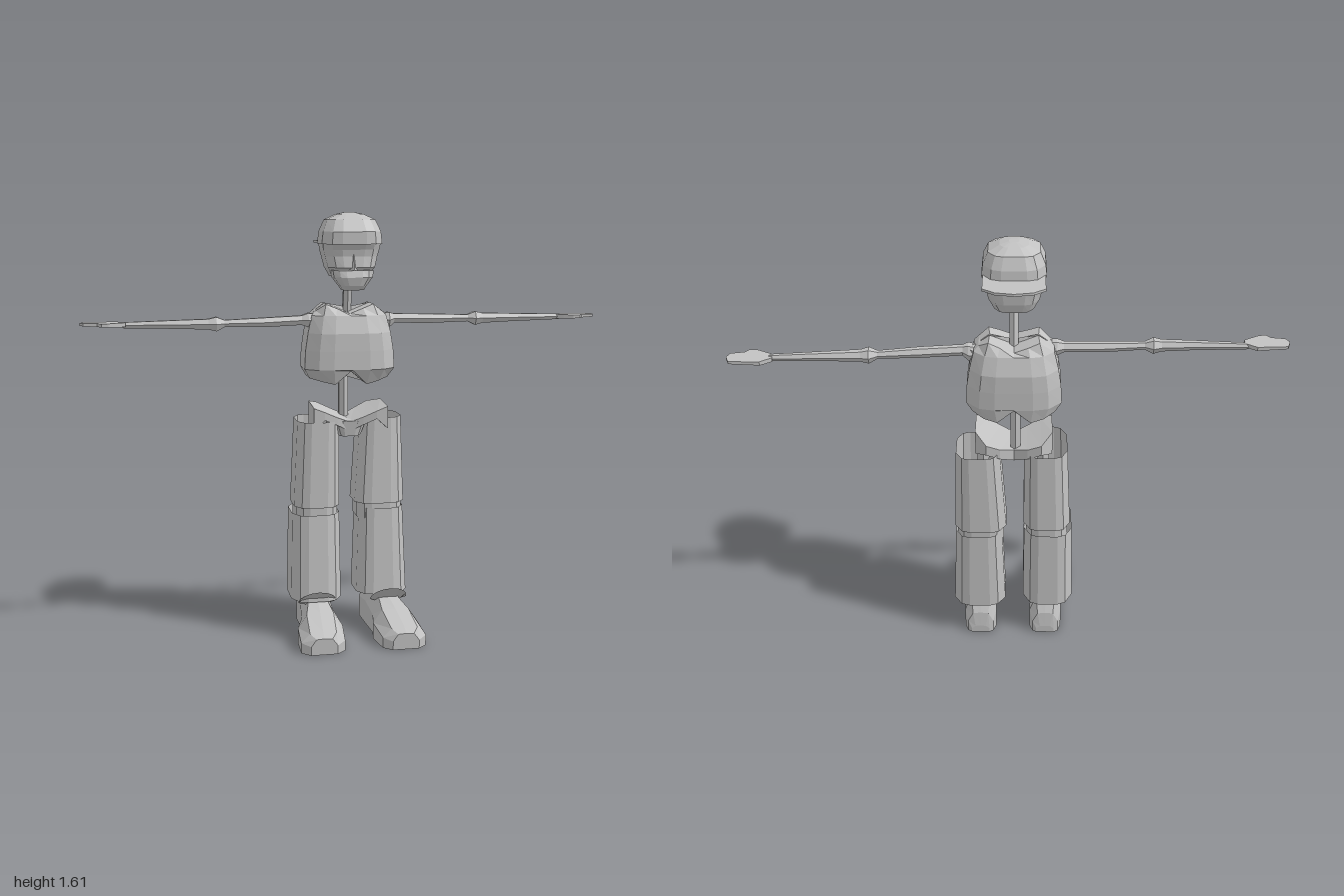
import * as THREE from 'three';

const gray = new THREE.MeshStandardMaterial({ color: 0xc2c2c2, side: THREE.DoubleSide, flatShading: true });
gray.name = 'pale gray';
const CX = -0.012; // the torso and head sit slightly off centre

// Skin a list of cross-sections, each a list of [x, y, z]
function loft(rings, { closed = true, caps = true } = {}) {
  const out = [], n = rings[0].length;
  const tri = (a, b, c) => out.push(...a, ...b, ...c);
  for (let i = 0; i < rings.length - 1; i++) {
    for (let j = 0; j < (closed ? n : n - 1); j++) {
      const k = (j + 1) % n, p = rings[i], q = rings[i + 1];
      tri(p[j], p[k], q[j]);
      tri(p[k], q[k], q[j]);
    }
  }
  if (caps) {
    [rings[0], rings[rings.length - 1]].forEach((r, end) => {
      const mid = [0, 1, 2].map(a => r.reduce((s, p) => s + p[a], 0) / n);
      r.forEach((p, j) => end ? tri(mid, p, r[(j + 1) % n]) : tri(mid, r[(j + 1) % n], p));
    });
  }
  const g = new THREE.BufferGeometry();
  g.setAttribute('position', new THREE.Float32BufferAttribute(out, 3));
  g.computeVertexNormals();
  return g;
}

// Horizontal ring of a chamfered box; lift(u) raises points by their side position
const OUTLINE = [[-1, -0.5], [-1, 0.5], [-0.72, 0.9], [-0.4, 1], [0, 1], [0.4, 1], [0.72, 0.9],
  [1, 0.5], [1, -0.5], [0.72, -0.9], [0.4, -1], [0, -1], [-0.4, -1], [-0.72, -0.9]];
function ring(cx, y, hw, zb, zf, lift = () => 0) {
  return OUTLINE.map(([u, v]) => [cx + u * hw, y + lift(Math.abs(u)), (zf + zb) / 2 + v * (zf - zb) / 2]);
}

export function createModel() {
  const model = new THREE.Group();
  model.name = 'figure';
  const add = (name, geometry, parent = model) => {
    const m = new THREE.Mesh(geometry, gray);
    m.name = name;
    parent.add(m);
    return m;
  };
  const group = name => {
    const g = new THREE.Group();
    g.name = name;
    model.add(g);
    return g;
  };
  const rod = (name, a, b, r, parent) => {
    const p = new THREE.Vector3(...a), q = new THREE.Vector3(...b);
    const m = add(name, new THREE.CylinderGeometry(r, r, p.distanceTo(q), 6), parent);
    m.position.copy(p).lerp(q, 0.5);
    m.quaternion.setFromUnitVectors(new THREE.Vector3(0, 1, 0), q.sub(p).normalize());
  };

  // Head: skull, jaw, nose and a cap worn backwards
  const head = group('head');
  add('skull', loft([
    ring(CX, 1.375, 0.068, -0.115, 0.01), ring(CX, 1.41, 0.088, -0.128, 0.06),
    ring(CX, 1.45, 0.098, -0.133, 0.055), ring(CX, 1.475, 0.105, -0.134, 0.06),
    ring(CX, 1.5, 0.108, -0.134, 0.074)]), head);
  add('jaw', loft([
    ring(CX, 1.328, 0.04, -0.005, 0.06), ring(CX, 1.345, 0.05, -0.03, 0.076),
    ring(CX, 1.375, 0.072, -0.045, 0.084), ring(CX, 1.4, 0.076, -0.03, 0.076)]), head);
  const nose = add('nose', new THREE.ConeGeometry(0.022, 0.075, 3), head);
  nose.position.set(CX, 1.43, 0.054);
  add('cap', loft([
    ring(CX, 1.495, 0.113, -0.137, 0.079), ring(CX, 1.54, 0.108, -0.132, 0.079),
    ring(CX, 1.583, 0.09, -0.112, 0.05), ring(CX, 1.603, 0.05, -0.08, 0.015),
    ring(CX, 1.61, 0.018, -0.05, -0.02)]), head);
  const brim = new THREE.Shape([[-0.108, 0.06], [-0.108, 0.195], [-0.065, 0.225], [0, 0.236], [0.065, 0.225],
    [0.108, 0.195], [0.108, 0.06]].map(([x, y]) => new THREE.Vector2(x, y)));
  const visor = add('capBrim', new THREE.ExtrudeGeometry(brim, { depth: 0.009, bevelEnabled: false }), head);
  visor.rotation.x = -Math.PI / 2;
  visor.position.set(CX, 1.497, 0);

  // Neck and spine
  rod('neck', [CX, 1.4, -0.053], [CX, 1.2, -0.1], 0.018);
  rod('spine', [-0.018, 1.08, -0.128], [-0.018, 0.8, -0.132], 0.021);

  // Ribcage: scooped at the neck, arched underneath
  const arch = u => u < 0.5 ? 0.05 * (1 - u / 0.4) - 0.008 : 0.035 * (u - 0.4) - 0.008;
  const scoop = u => u < 0.75 ? -0.035 * (1 - u / 0.72) : -0.025;
  add('ribcage', loft([
    ring(CX, 0.983, 0.14, -0.095, -0.085, arch), ring(CX, 0.98, 0.15, -0.19, 0.004, arch),
    ring(CX, 1.03, 0.172, -0.2, 0.036), ring(CX, 1.1, 0.168, -0.2, 0.034),
    ring(CX, 1.165, 0.158, -0.198, 0.031), ring(CX, 1.23, 0.142, -0.175, 0.01),
    ring(CX, 1.272, 0.125, -0.152, -0.015, scoop), ring(CX, 1.274, 0.12, -0.09, -0.08, scoop)]));

  // Pelvis: two flared wings joined by a low block
  const pelvis = group('pelvis');
  for (const s of [-1, 1]) {
    const stations = [[0, 0.825, 0.79, -0.02, -0.16], [0.05, 0.845, 0.815, -0.005, -0.19],
      [0.1, 0.868, 0.838, 0.005, -0.2], [0.142, 0.885, 0.8, 0.006, -0.13]];
    add(s > 0 ? 'leftWing' : 'rightWing', loft(stations.map(([x, t, b, f, k]) => [
      [CX + s * x, t, f], [CX + s * x, b, f], [CX + s * x, b, k], [CX + s * x, t + 0.01, k]])), pelvis);
  }
  add('hipBlock', loft([ring(CX, 0.77, 0.045, -0.13, -0.02), ring(CX, 0.83, 0.07, -0.16, -0.01)]), pelvis);

  // Arms: stations are [x, y, z, radius], hands are flat mittens
  const armData = {
    left: [[0.12, 1.205, -0.09, 0.03], [0.15, 1.207, -0.085, 0.033], [0.17, 1.212, -0.085, 0.02], [0.32, 1.208, -0.095, 0.02],
      [0.47, 1.206, -0.11, 0.015], [0.5, 1.205, -0.113, 0.03], [0.53, 1.205, -0.115, 0.022], [0.64, 1.205, -0.12, 0.018],
      [0.85, 1.204, -0.13, 0.012]],
    right: [[-0.13, 1.21, -0.06, 0.03], [-0.165, 1.212, -0.06, 0.03], [-0.19, 1.212, -0.058, 0.02], [-0.33, 1.207, -0.048, 0.02],
      [-0.48, 1.206, -0.036, 0.015], [-0.51, 1.205, -0.035, 0.03], [-0.54, 1.205, -0.033, 0.022], [-0.65, 1.206, -0.033, 0.018],
      [-0.85, 1.206, -0.037, 0.012]],
  };
  const mitten = new THREE.Shape([[0, -0.012], [0.04, -0.04], [0.15, -0.034], [0.162, 0], [0.15, 0.026],
    [0.1, 0.034], [0.085, 0.052], [0.06, 0.05], [0.025, 0.03], [0, 0.014]].map(p => new THREE.Vector2(...p)));
  for (const side of ['left', 'right']) {
    const s = side === 'left' ? 1 : -1, arm = group(side + 'Arm');
    add('armBones', loft(armData[side].map(([x, y, z, r]) => Array.from({ length: 6 }, (_, i) => {
      const a = i * Math.PI / 3;
      return [x, y + r * Math.sin(a), z + r * Math.cos(a)];
    }))), arm);
    const shoulder = add('shoulder', new THREE.DodecahedronGeometry(0.035), arm);
    shoulder.position.set(...armData[side][0].slice(0, 3));
    const palm = new THREE.ExtrudeGeometry(mitten, { depth: 0.016, bevelEnabled: false });
    palm.rotateX(Math.PI / 2); // shape y becomes +z
    const p = palm.attributes.position;
    for (let i = 0; i < p.count; i++) { // thin toward the fingertips, mirror for the right
      p.setY(i, p.getY(i) * (1 - p.getX(i) * 2.5));
      p.setX(i, p.getX(i) * s);
    }
    palm.computeVertexNormals();
    const hand = add('hand', palm, arm);
    hand.position.set(s * 0.838, s > 0 ? 1.212 : 1.217, s > 0 ? -0.135 : -0.028);
    if (s > 0) hand.rotation.y = 0.04;
  }

  // Legs: open trouser tubes with [centre x, y, half width, back z, front z]
  const legData = {
    left: {
      thigh: [[0.12, 0.835, 0.08, -0.223, -0.038], [0.113, 0.5, 0.097, -0.223, -0.025]],
      shin: [[0.12, 0.48, 0.087, -0.225, -0.027], [0.12, 0.14, 0.1, -0.223, -0.01]],
      heel: 0.118, toe: 0.153, hip: 0.1, cuff: 0.13,
    },
    right: {
      thigh: [[-0.13, 0.83, 0.08, -0.205, 0.008], [-0.138, 0.5, 0.088, -0.21, 0.01]],
      shin: [[-0.143, 0.475, 0.091, -0.212, 0.022], [-0.146, 0.14, 0.097, -0.215, 0.045]],
      heel: -0.138, toe: -0.156, hip: -0.12, cuff: -0.15,
    },
  };
  const shoe = [[0.236, 0.05, 0.06], [0.205, 0.083, 0.073], [0.1, 0.086, 0.112], [0.03, 0.066, 0.132],
    [-0.08, 0.06, 0.17], [-0.18, 0.062, 0.15], [-0.212, 0.05, 0.09], [-0.22, 0.035, 0.03]];
  for (const side of ['left', 'right']) {
    const d = legData[side], leg = group(side + 'Leg'), open = { caps: false };
    const tube = rows => loft(rows.map(r => ring(...r)), open);
    add('upperTrouser', tube(d.thigh), leg);
    add('lowerTrouser', tube(d.shin), leg);
    const [kx, , kw, kb, kf] = d.thigh[1];
    add('knee', tube([0.53, 0.44].map(y => [kx, y, kw * 0.9, kb + 0.012, kf - 0.008])), leg);
    rod('legBone', [d.hip, 0.8, -0.1], [d.cuff, 0.1, -0.1], 0.025, leg);
    add('shoe', loft(shoe.map(([z, w, h]) => {
      const cx = THREE.MathUtils.lerp(d.heel, d.toe, THREE.MathUtils.clamp((z + 0.1) / 0.3, 0, 1));
      return [[-1, 0], [-1, 0.55], [-0.6, 1], [0, 1.03], [0.6, 1], [1, 0.55], [1, 0]]
        .map(([u, v]) => [cx + u * w, v * h, z]);
    })), leg);
    // Arched tongue flaring over the instep
    const arcRow = f => Array.from({ length: 9 }, (_, i) => f(Math.cos(i * Math.PI / 8), Math.sin(i * Math.PI / 8)));
    add('shoeTongue', loft([
      arcRow((c, t) => [d.cuff + 0.072 * c, 0.135 + 0.055 * t, 0.02 + 0.062 * t]),
      arcRow((c, t) => [d.cuff + 0.06 * c, 0.12, -0.01 + 0.015 * t])], { closed: false, caps: false }), leg);
  }
  return model;
}
